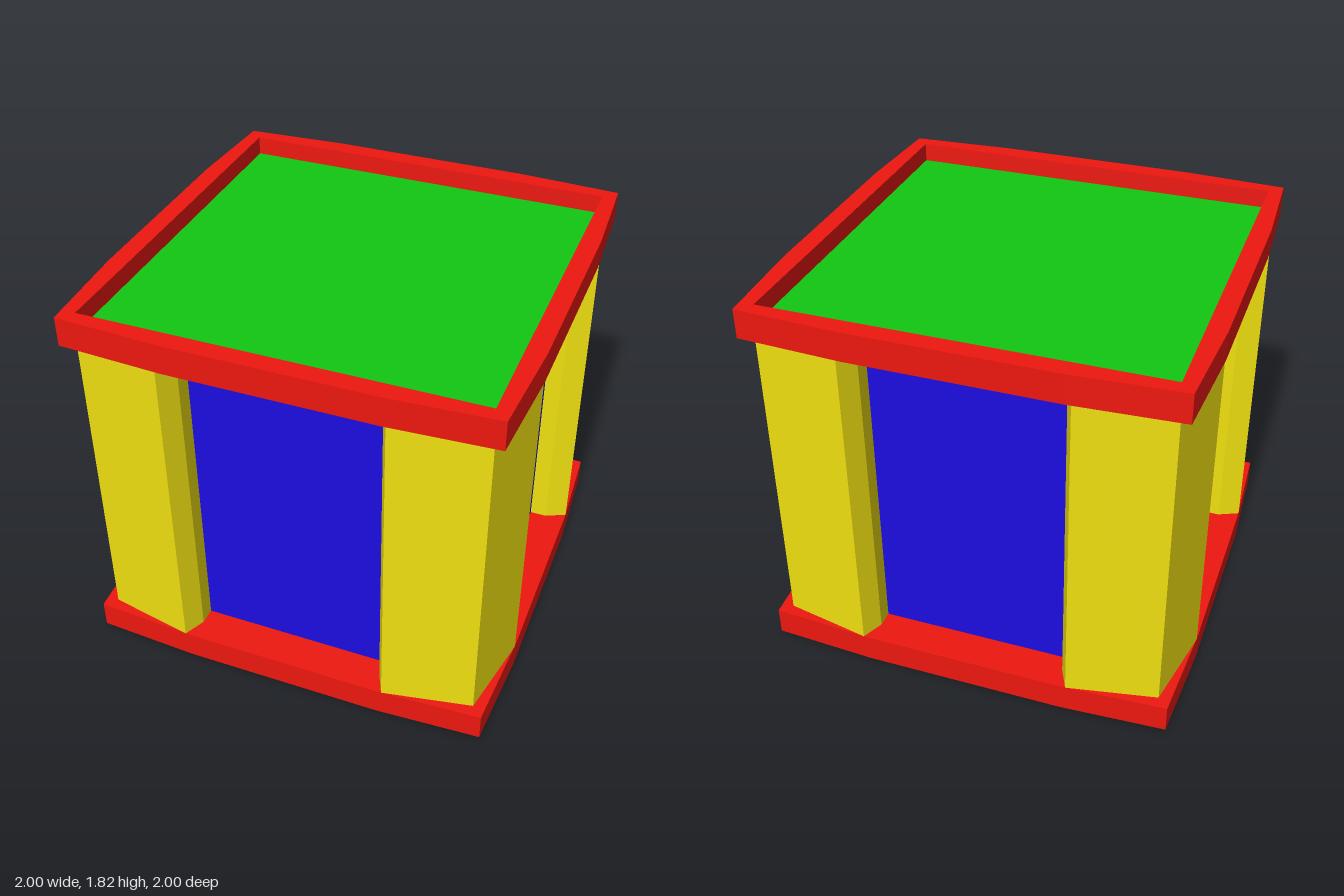
import * as THREE from 'three';

const paint = (color) => new THREE.MeshStandardMaterial({ color, flatShading: true });

// Extrudes a plan outline upwards between two heights.
function prism(name, shape, y0, y1, material) {
  const geometry = new THREE.ExtrudeGeometry(shape, { depth: y1 - y0, bevelEnabled: false });
  geometry.rotateX(-Math.PI / 2).translate(0, y0, 0);
  const mesh = new THREE.Mesh(geometry, material);
  mesh.name = name;
  return mesh;
}

const outline = (points) => new THREE.Shape(points.map(([x, y]) => new THREE.Vector2(x, y)));

// Square plan with slightly bulging sides.
function slabOutline() {
  const c = 0.973, m = 0.48;
  return outline([
    [c, c], [m, 1], [-m, 1], [-c, c], [-1, m], [-1, -m],
    [-c, -c], [-m, -1], [m, -1], [c, -c], [1, -m], [1, m],
  ]);
}

export function createModel() {
  const model = new THREE.Group();
  model.name = 'crate';
  const red = paint(0xee1810), yellow = paint(0xf0e010);
  const blue = paint(0x1c0de0), green = paint(0x12c812);
  const baseTop = 0.135, lidBottom = 1.68, panelTop = 1.73, lidTop = 1.82;

  // Base, lid and the raised rim around the lid
  model.add(prism('base', slabOutline(), 0, baseTop, red));
  model.add(prism('lid', slabOutline(), lidBottom, panelTop - 0.005, red));
  const rim = slabOutline(), r = 0.91;
  rim.holes.push(new THREE.Path([[r, r], [r, -r], [-r, -r], [-r, r]].map(([x, y]) => new THREE.Vector2(x, y))));
  model.add(prism('lidRim', rim, panelTop - 0.005, lidTop, red));

  // Sunken panel inside the rim
  const panel = new THREE.Mesh(new THREE.BoxGeometry(2 * r, 0.03, 2 * r), green);
  panel.position.y = panelTop - 0.015;
  panel.name = 'topPanel';
  model.add(panel);

  // Inner body whose walls show between the posts
  const body = new THREE.Mesh(new THREE.BoxGeometry(1.64, lidBottom - baseTop, 1.64), blue);
  body.position.y = (lidBottom + baseTop) / 2;
  body.name = 'body';
  model.add(body);

  // Four angled corner posts
  const postShape = outline([
    [0.92, 0.92], [0.503, 1], [0.457, 0.9], [0.457, 0.8],
    [0.8, 0.8], [0.8, 0.457], [0.9, 0.457], [1, 0.503],
  ]);
  for (let i = 0; i < 4; i++) {
    const post = prism('cornerPost', postShape, baseTop, lidBottom, yellow);
    post.rotation.y = i * Math.PI / 2;
    model.add(post);
  }
  return model;
}
